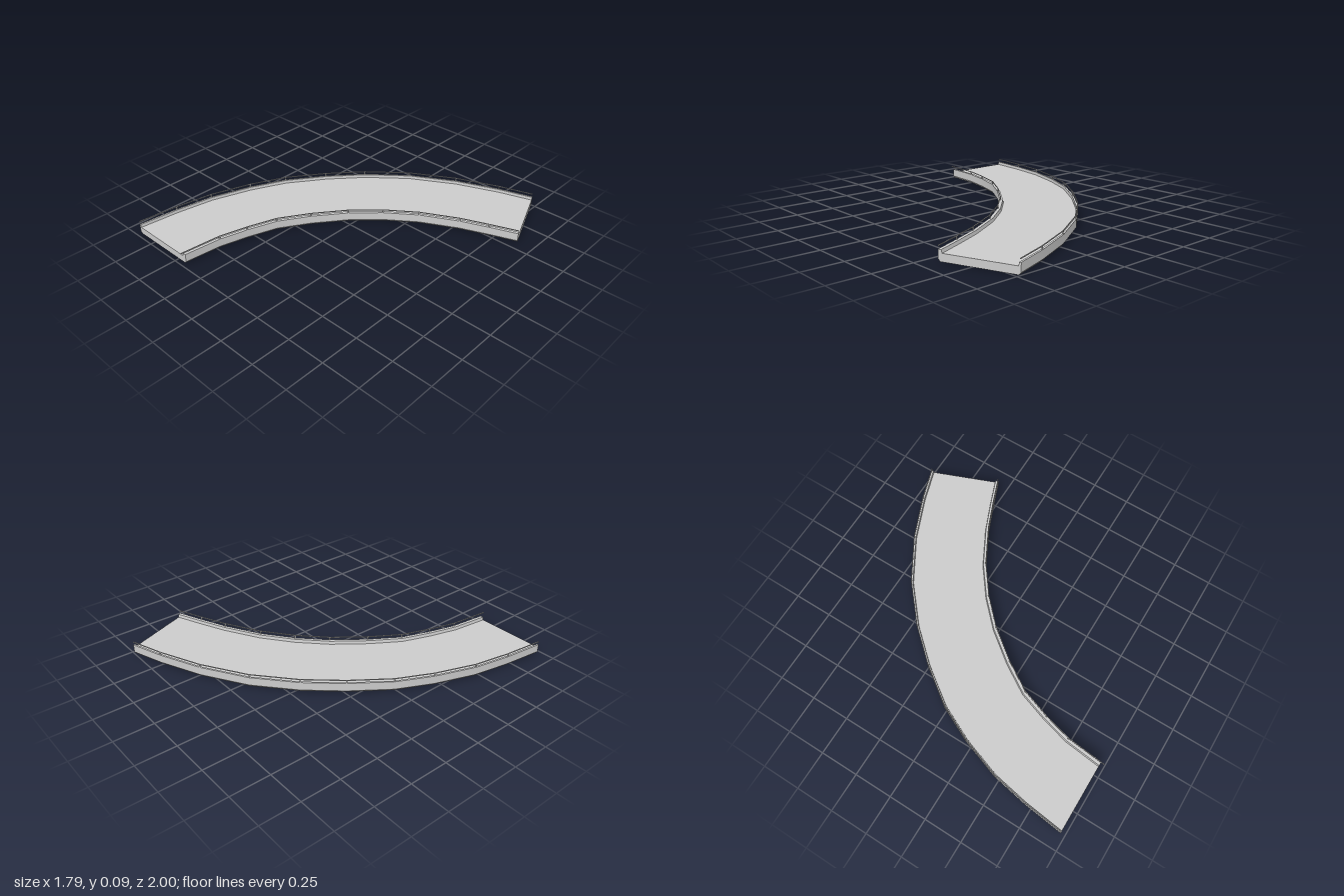
import * as THREE from 'three';

// Matching stations [x, z] along the outer and inner edges of the bend
const OUTER = [[-0.9, 0.97], [-0.87, 0.71], [-0.825, 0.465], [-0.735, 0.205], [-0.627, -0.02], [-0.463, -0.247],
  [-0.283, -0.45], [-0.05, -0.65], [0.23, -0.815], [0.505, -0.93], [0.722, -1]];
const INNER = [[-0.426, 0.97], [-0.4, 0.73], [-0.352, 0.55], [-0.288, 0.363], [-0.172, 0.178], [-0.024, -0.013],
  [0.135, -0.167], [0.32, -0.305], [0.548, -0.427], [0.72, -0.498], [0.892, -0.565]];
const N = OUTER.length;
const toVec = ([x, z]) => new THREE.Vector3(x, 0, z);
const outer = OUTER.map(toVec), inner = INNER.map(toVec);

// Point at station i: side 0 measures inward from the outer edge, side 1 from the inner edge
function at(i, [side, inset, y]) {
  const from = side ? inner[i] : outer[i], to = side ? outer[i] : inner[i];
  const p = from.clone().addScaledVector(to.clone().sub(from).normalize(), inset);
  p.y = y + 0.006 * Math.sin(Math.PI * i / (N - 1)); // gentle arch
  return p;
}

// Sweep a closed section along the bend; bands are smooth lengthwise and sharp crosswise
function sweep(section, name, material, overhang = 0) {
  const pos = [], idx = [], m = section.length;
  const point = (i, c) => {
    const p = at(i, c);
    if (i === 0) p.z += overhang;
    return p;
  };
  section.forEach((a, k) => {
    const b = section[(k + 1) % m], base = pos.length / 3;
    for (let i = 0; i < N; i++) pos.push(...point(i, a).toArray(), ...point(i, b).toArray());
    for (let i = 0; i < N - 1; i++) {
      const s = base + 2 * i;
      idx.push(s, s + 1, s + 2, s + 1, s + 3, s + 2);
    }
  });
  // end caps, triangulated in (across, height)
  const flat = section.map(([s, d, y]) => new THREE.Vector2(s ? 0.47 - d : d, y));
  const tris = THREE.ShapeUtils.triangulateShape(flat, []);
  const ccw = !THREE.ShapeUtils.isClockWise(flat);
  [0, N - 1].forEach((i) => {
    const base = pos.length / 3;
    section.forEach((c) => pos.push(...point(i, c).toArray()));
    tris.forEach(([a, b, c]) => {
      const front = (i === 0) === ccw;
      idx.push(base + a, base + (front ? b : c), base + (front ? c : b));
    });
  });
  const geo = new THREE.BufferGeometry();
  geo.setAttribute('position', new THREE.Float32BufferAttribute(pos, 3));
  geo.setIndex(idx);
  geo.computeVertexNormals();
  const mesh = new THREE.Mesh(geo, material);
  mesh.name = name;
  return mesh;
}

export function createModel() {
  const group = new THREE.Group();
  group.name = 'curvedBridgeDeck';
  const grey = new THREE.MeshStandardMaterial({ color: 0xcccccc, side: THREE.DoubleSide });

  // Deck with bevelled underside and a low parapet on each edge
  group.add(sweep([
    [0, 0, 0.066], [0, 0, 0.014], [0, 0.012, 0],
    [1, 0.012, 0], [1, 0, 0.014], [1, 0, 0.066],
    [1, 0.02, 0.066], [1, 0.024, 0.046], [0, 0.014, 0.046], [0, 0.012, 0.066],
  ], 'deck', grey));

  // Handrails on slim posts
  [0, 1].forEach((side) => {
    const label = side ? 'inner' : 'outer';
    const rail = [[side, 0.001, 0.088], [side, 0.001, 0.083], [side, 0.006, 0.083], [side, 0.006, 0.088]];
    if (side) rail.reverse();
    group.add(sweep(rail, label + 'Handrail', grey, side ? 0.025 : 0));

    const posts = new THREE.Group();
    posts.name = label + 'Posts';
    const postGeo = new THREE.BoxGeometry(0.005, 0.02, 0.008);
    for (let i = 1; i < N - 1; i++) {
      const post = new THREE.Mesh(postGeo, grey);
      post.name = 'post';
      post.position.copy(at(i, [side, 0.004, 0.074]));
      const across = outer[i].clone().sub(inner[i]);
      post.rotation.y = Math.atan2(-across.z, across.x);
      posts.add(post);
    }
    group.add(posts);
  });
  return group;
}
